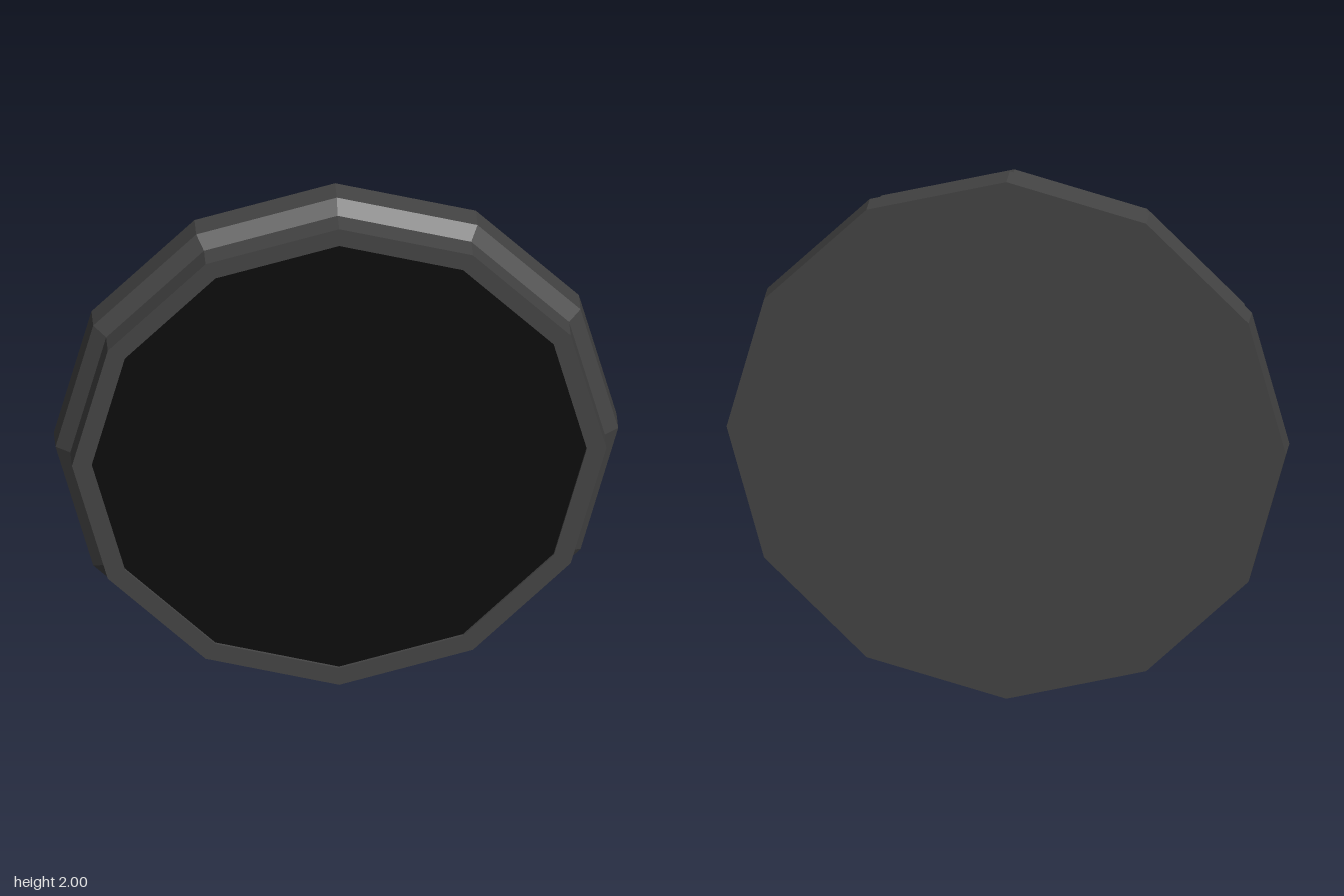
import * as THREE from 'three';

const SIDES = 12;

export function createModel() {
  const model = new THREE.Group();
  model.name = 'roundLamp';

  // Housing: closed back, wide rear band, chamfer, narrower front band, rim and shallow recess
  const profile = [
    [0, -0.115], [1, -0.115], [1, -0.018], [0.95, 0.024],
    [0.95, 0.115], [0.88, 0.115], [0.88, 0.105],
  ].map(([r, z]) => new THREE.Vector2(r, z));
  const housing = new THREE.Mesh(
    new THREE.LatheGeometry(profile, SIDES).rotateX(Math.PI / 2),
    new THREE.MeshStandardMaterial({ color: 0x444444, flatShading: true })
  );
  housing.name = 'housing';

  // Dark face set just behind the rim
  const face = new THREE.Mesh(
    new THREE.CircleGeometry(0.88, SIDES),
    new THREE.MeshStandardMaterial({ color: 0x0c0c0c, flatShading: true })
  );
  face.name = 'face';
  face.position.z = 0.105;

  for (const part of [housing, face]) {
    part.position.y = 1;
    model.add(part);
  }
  return model;
}
